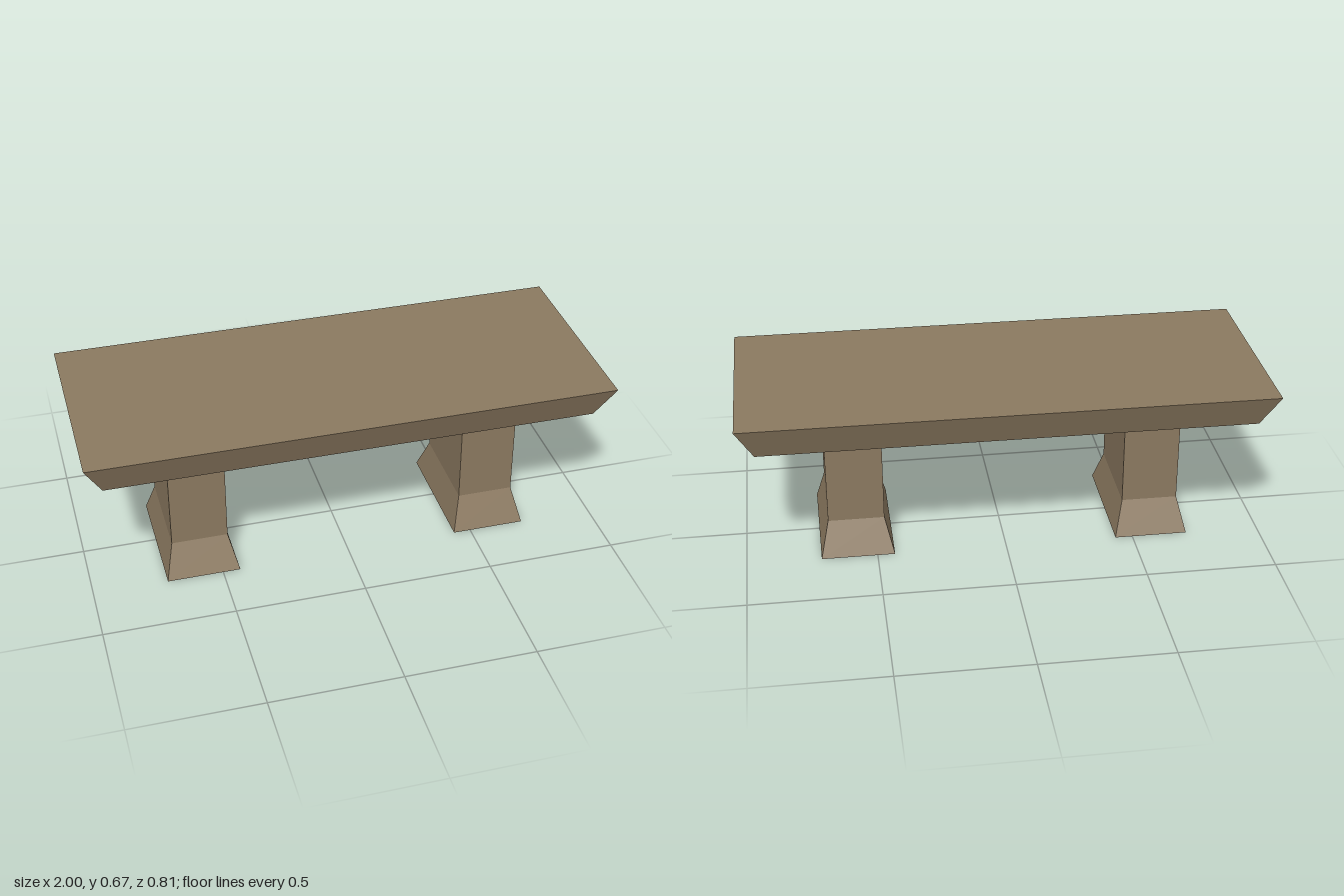
import * as THREE from 'three';

// Flat-sided shell through rectangular sections [y, halfWidth, halfDepth], listed from bottom to top.
function rectLoft(sections, capTop) {
  const rings = sections.map(([y, w, d]) =>
    [[-w, d], [w, d], [w, -d], [-w, -d]].map(([x, z]) => [x, y, z]));
  const pos = [];
  const quad = (a, b, c, d) => pos.push(...a, ...b, ...c, ...a, ...c, ...d);
  for (let r = 0; r < rings.length - 1; r++) {
    const lo = rings[r], hi = rings[r + 1];
    for (let i = 0; i < 4; i++) {
      const j = (i + 1) % 4;
      quad(lo[i], lo[j], hi[j], hi[i]);
    }
  }
  if (capTop) quad(...rings[rings.length - 1]);
  const geo = new THREE.BufferGeometry();
  geo.setAttribute('position', new THREE.Float32BufferAttribute(pos, 3));
  geo.computeVertexNormals();
  return geo;
}

export function createModel() {
  const model = new THREE.Group();
  model.name = 'bench';
  const stone = new THREE.MeshStandardMaterial({ color: 0x8b7960, side: THREE.DoubleSide, flatShading: true });
  stone.name = 'brown stone';

  // Seat slab: sloped rim, hollow and open underneath
  const seat = new THREE.Mesh(rectLoft([[0.537, 0.934, 0.352], [0.665, 1, 0.405]], true), stone);
  seat.name = 'seat';
  model.add(seat);

  // Two hollow legs with flared feet, reaching up inside the seat
  const legGeo = rectLoft([[0, 0.141, 0.246], [0.134, 0.108, 0.188], [0.6, 0.108, 0.188]], false);
  for (const side of [-1, 1]) {
    const leg = new THREE.Mesh(legGeo, stone);
    leg.name = side > 0 ? 'leftLeg' : 'rightLeg';
    leg.position.set(side * 0.574, 0, 0.019);
    model.add(leg);
  }
  return model;
}
